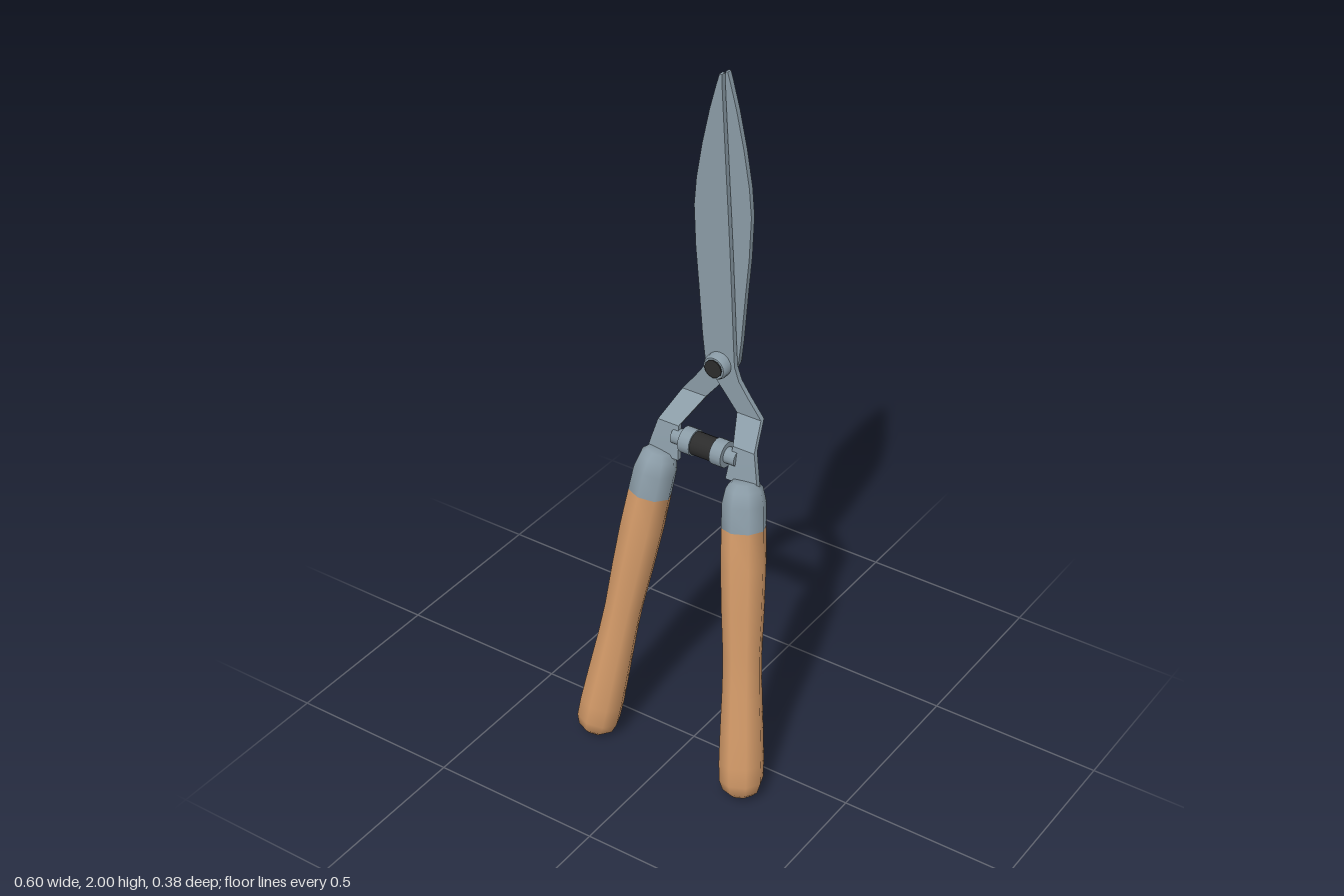
import * as THREE from 'three';
import { toCreasedNormals } from 'three/addons/utils/BufferGeometryUtils.js';

const mat = (name, color) => {
  const m = new THREE.MeshStandardMaterial({ color });
  m.name = name;
  return m;
};

// Blade and tang stations: y, left edge, right edge, tang z (null = blade plane)
const STATIONS = [
  [0.89, 0.075, 0.175, -0.043], [0.93, 0.08, 0.166, -0.05], [0.985, 0.086, 0.152, -0.062],
  [1.045, 0.055, 0.13, null], [1.1, 0.01, 0.088, null], [1.14, -0.025, 0.06, null],
  [1.18, -0.046, 0.046, null], [1.25, -0.054, 0.042, null], [1.4, -0.066, 0.035, null],
  [1.5, -0.075, 0.03, null], [1.62, -0.08, 0.023, null], [1.7, -0.073, 0.018, null],
  [1.8, -0.056, 0.012, null], [1.9, -0.034, 0.006, null], [1.97, -0.015, 0.002, null],
  [2.0, -0.006, 0.001, null],
];

// Flat bar swept through the stations; side -1 mirrors it in x
function bladeGeometry(side, planeZ) {
  const h = 0.0075, pos = [], index = [];
  for (const [y, a, b, tz] of STATIONS) {
    const z = tz ?? planeZ;
    const [l, r] = side > 0 ? [a, b] : [-b, -a];
    pos.push(l, y, z + h, r, y, z + h, r, y, z - h, l, y, z - h);
  }
  const last = (STATIONS.length - 1) * 4;
  for (let o = 0; o < last; o += 4) {
    for (let k = 0; k < 4; k++) {
      const a = o + k, b = o + (k + 1) % 4;
      index.push(a, b, b + 4, a, b + 4, a + 4);
    }
  }
  index.push(0, 2, 1, 0, 3, 2, last, last + 1, last + 2, last, last + 2, last + 3);
  const g = new THREE.BufferGeometry();
  g.setAttribute('position', new THREE.Float32BufferAttribute(pos, 3));
  g.setIndex(index);
  return toCreasedNormals(g, 0.5);
}

const lathe = (pts, segments) =>
  toCreasedNormals(new THREE.LatheGeometry(pts.map(p => new THREE.Vector2(...p)), segments), 0.9);

export function createModel() {
  const root = new THREE.Group();
  root.name = 'hedgeShears';
  const steel = mat('steel', 0x8a9ba6);
  const wood = mat('wood', 0xd09867);
  const rubber = mat('rubber', 0x2c2c2c);

  const add = (parent, name, geometry, material) => {
    const m = new THREE.Mesh(geometry, material);
    m.name = name;
    parent.add(m);
    return m;
  };

  // Crossing blades with their cranked tangs
  add(root, 'frontBlade', bladeGeometry(1, -0.127), steel);
  add(root, 'backBlade', bladeGeometry(-1, -0.1455), steel);

  // Handles: turned wooden grip and steel ferrule on a splayed axis
  const grip = lathe([[0, 0], [0.034, 0], [0.052, 0.015], [0.062, 0.045], [0.063, 0.1], [0.06, 0.2],
    [0.055, 0.33], [0.054, 0.42], [0.059, 0.55], [0.062, 0.68], [0.061, 0.79]], 8);
  const ferrule = lathe([[0.061, 0.79], [0.06, 0.86], [0.051, 0.9], [0.034, 0.917], [0, 0.918]], 8);
  for (const s of [1, -1]) {
    const foot = new THREE.Vector3(s * 0.245, 0.008, 0.132);
    const top = new THREE.Vector3(s * 0.135, 0.9, -0.035);
    const handle = new THREE.Group();
    handle.name = s > 0 ? 'leftHandle' : 'rightHandle';
    handle.position.copy(foot);
    handle.quaternion.setFromUnitVectors(new THREE.Vector3(0, 1, 0), top.sub(foot).normalize());
    add(handle, 'grip', grip, wood);
    add(handle, 'ferrule', ferrule, steel);
    root.add(handle);
  }

  // Pivot bolt, running along z
  const pivot = new THREE.Group();
  pivot.name = 'pivot';
  pivot.position.set(0, 1.175, 0);
  pivot.rotation.x = Math.PI / 2;
  root.add(pivot);
  add(pivot, 'boltHead', lathe([[0, -0.14], [0.036, -0.14], [0.036, -0.1], [0.031, -0.091], [0, -0.09]], 16), steel);
  add(pivot, 'boltSocket', new THREE.CylinderGeometry(0.026, 0.026, 0.006, 12), rubber).position.y = -0.09;
  add(pivot, 'nut', lathe([[0, -0.188], [0.026, -0.188], [0.032, -0.18], [0.032, -0.14], [0, -0.14]], 16), steel);
  add(pivot, 'boltEnd', new THREE.CylinderGeometry(0.017, 0.017, 0.012, 12), steel).position.y = -0.19;

  // Shock bumper between the tangs, running along x
  const bumper = new THREE.Group();
  bumper.name = 'bumper';
  bumper.position.set(0, 0.95, -0.058);
  bumper.rotation.z = -Math.PI / 2;
  root.add(bumper);
  add(bumper, 'bumperPad', new THREE.CylinderGeometry(0.033, 0.033, 0.066, 16), rubber);
  for (const s of [1, -1]) {
    add(bumper, 'bumperBoss', new THREE.CylinderGeometry(0.037, 0.037, 0.035, 16), steel).position.y = s * 0.05;
    add(bumper, 'bumperPin', new THREE.CylinderGeometry(0.023, 0.023, 0.035, 12), steel).position.y = s * 0.083;
  }
  return root;
}
